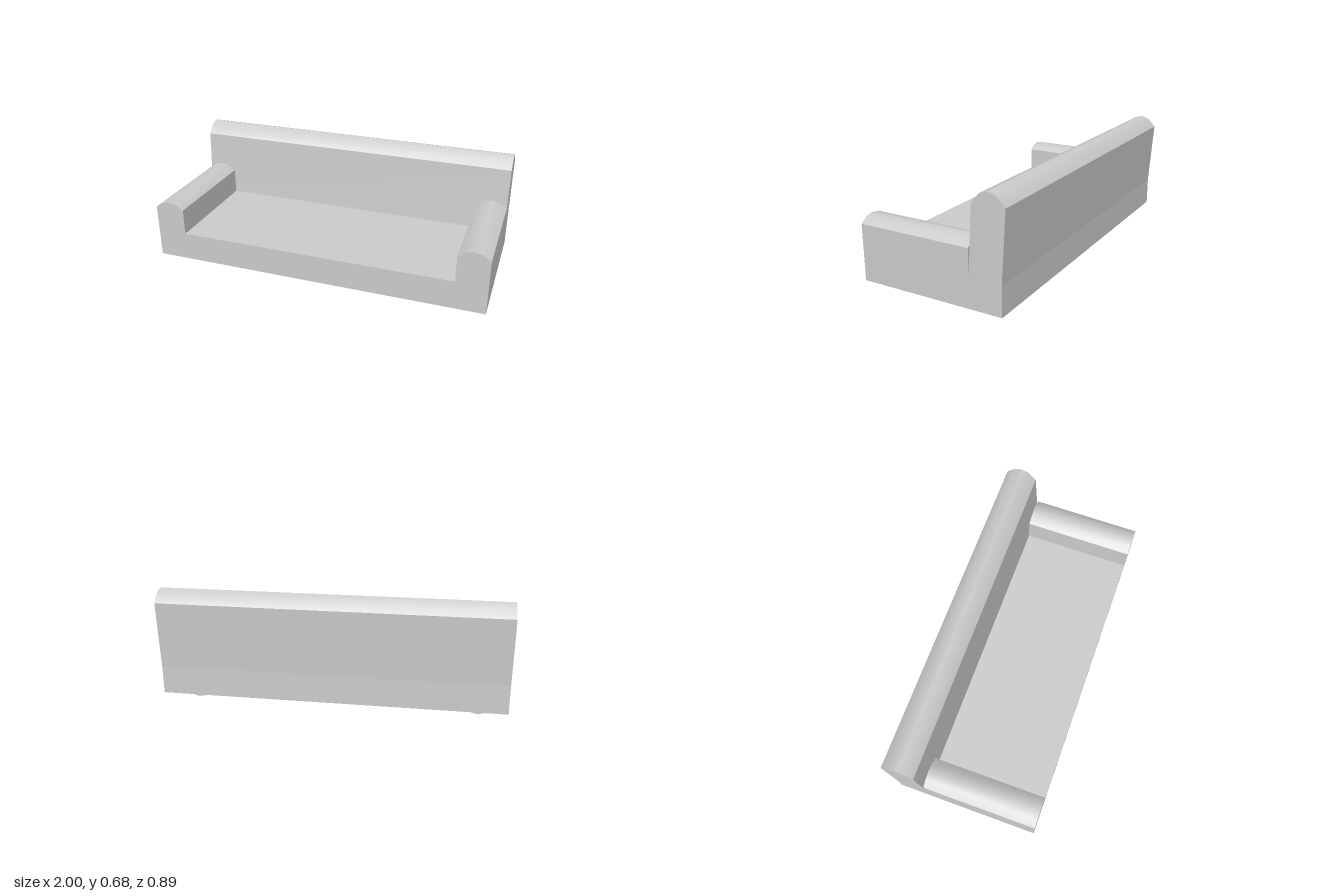
import * as THREE from 'three';
import { toCreasedNormals } from 'three/addons/utils/BufferGeometryUtils.js';

const material = new THREE.MeshStandardMaterial({ color: 0xcccccc });

// Extrude a closed outline along +z, keeping the rolled tops smooth and the edges sharp
function extrudeOutline(points, depth) {
  const shape = new THREE.Shape(points.map(([x, y]) => new THREE.Vector2(x, y)));
  const geometry = new THREE.ExtrudeGeometry(shape, { depth, bevelEnabled: false });
  return toCreasedNormals(geometry, THREE.MathUtils.degToRad(34));
}

export function createModel() {
  const sofa = new THREE.Group();
  sofa.name = 'sofa';

  function add(name, geometry, x = 0, y = 0, z = 0) {
    const mesh = new THREE.Mesh(geometry, material);
    mesh.name = name;
    mesh.position.set(x, y, z);
    sofa.add(mesh);
    return mesh;
  }

  const bottom = 0.051, seatTop = 0.22;
  const front = 0.443, rear = -0.417, backFront = -0.229;

  // Seat base
  add('seatBase', new THREE.BoxGeometry(2, seatTop - bottom, front - rear),
    0, (bottom + seatTop) / 2, (front + rear) / 2);

  // Armrests with a gently arched top
  const armOutline = [
    [-0.09, seatTop], [0.09, seatTop], [0.09, 0.375],
    [0.047, 0.405], [0, 0.415], [-0.047, 0.405], [-0.09, 0.375],
  ];
  const arm = extrudeOutline(armOutline, front - backFront);
  add('leftArmrest', arm, 0.91, 0, backFront);
  add('rightArmrest', arm, -0.91, 0, backFront);

  // Backrest: side outline (z, y) leaning back, with a rolled top
  const backOutline = [
    [rear, seatTop], [backFront, seatTop], [-0.253, 0.61], [-0.3, 0.662],
    [-0.347, 0.678], [-0.395, 0.662], [-0.443, 0.61],
  ];
  const back = extrudeOutline(backOutline, 2);
  back.rotateY(-Math.PI / 2);
  add('backrest', back, 1, 0, 0);

  // Octagonal feet
  const footGeometry = new THREE.CylinderGeometry(0.05, 0.05, bottom, 8).toNonIndexed();
  footGeometry.computeVertexNormals();
  for (const [side, x] of [['left', 0.818], ['right', -0.837]]) {
    for (const [end, z] of [['Front', 0.253], ['Rear', -0.279]]) {
      add(`${side}${end}Foot`, footGeometry, x, bottom / 2, z);
    }
  }

  return sofa;
}
